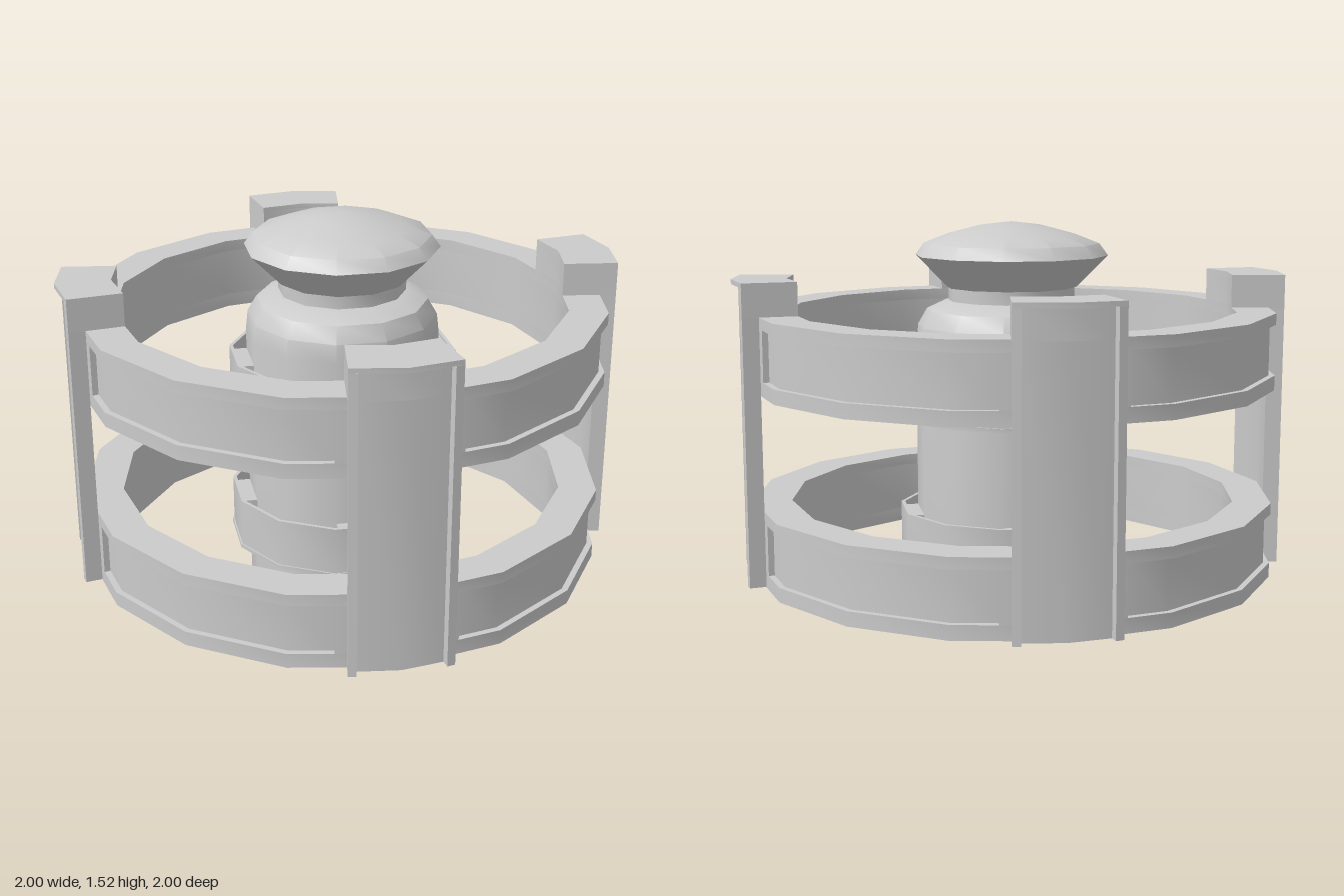
import * as THREE from 'three';
import { toCreasedNormals } from 'three/addons/utils/BufferGeometryUtils.js';

const grey = new THREE.MeshStandardMaterial({ color: 0xcccccc });
const greyOpen = new THREE.MeshStandardMaterial({ color: 0xcccccc, side: THREE.DoubleSide });
const rad = THREE.MathUtils.degToRad;
const CREASE = 0.6;

// point at an angle in degrees
const polar = (r, a) => new THREE.Vector2(r * Math.cos(rad(a)), r * Math.sin(rad(a)));

// corners of a regular polygon
const ngon = (r, n) => Array.from({ length: n }, (_, i) => polar(r, (i * 360) / n));

// point on the edge of a 16-sided polygon of corner radius r
function onRing(r, a) {
  const off = (((a % 22.5) + 22.5) % 22.5) - 11.25;
  return polar((r * Math.cos(rad(11.25))) / Math.cos(rad(off)), a);
}

function mesh(name, geometry, material = grey) {
  const m = new THREE.Mesh(toCreasedNormals(geometry, CREASE), material);
  m.name = name;
  return m;
}

// upright prism from a plan outline, optionally hollow
function prism(name, outline, y0, y1, hole) {
  const shape = new THREE.Shape(outline);
  if (hole) shape.holes.push(new THREE.Path(hole));
  const g = new THREE.ExtrudeGeometry(shape, { depth: y1 - y0, bevelEnabled: false });
  g.rotateX(-Math.PI / 2).translate(0, y0, 0);
  return mesh(name, g);
}

// 12-sided turned part
function turned(name, profile) {
  const pts = profile.map(([r, y]) => new THREE.Vector2(r, y));
  return mesh(name, new THREE.LatheGeometry(pts, 12), greyOpen);
}

// outer ring band with four recessed panels
function ringBand(name, y) {
  const band = new THREE.Group();
  band.name = name;
  const outer = ngon(1, 16), inner = ngon(0.855, 16);
  const inset = [];
  for (let c = 0; c < 360; c += 90) {
    inset.push(onRing(1, c - 45), onRing(1, c - 32));
    for (const a of [-32, -22.5, 0, 22.5, 32]) inset.push(onRing(0.977, c + a));
    inset.push(onRing(1, c + 32));
  }
  band.add(
    prism('lowerLip', outer, y, y + 0.055, inner),
    prism('recessedWall', inset, y + 0.055, y + 0.245, inner),
    prism('upperLip', outer, y + 0.245, y + 0.288, inner)
  );
  return band;
}

// pillar on the outside of the rings, with a sunken face and a block on top
function pillar(c) {
  const g = new THREE.Group();
  g.name = 'pillar';
  const w = 10.5, f = 8.8;
  const back = [onRing(1, c + w), onRing(1, c), onRing(1, c - w)];
  const front = [polar(1.043, c - w), polar(1.06, c), polar(1.043, c + w)];
  const sunken = [
    polar(1.043, c - w), polar(1.045, c - f), polar(1.012, c - f), polar(1.022, c),
    polar(1.012, c + f), polar(1.045, c + f), polar(1.043, c + w)
  ];
  const deepBack = [onRing(0.855, c + 11), onRing(0.855, c), onRing(0.855, c - 11)];
  g.add(
    prism('pillarShaft', [...back, ...sunken], 0.185, 1.19),
    prism('pillarHead', [...deepBack, ...sunken], 1.19, 1.3),
    prism('pillarCap', [...deepBack, ...front], 1.3, 1.318)
  );
  return g;
}

// thin collar held off the body by four blocks
function collar(name, y) {
  const g = new THREE.Group();
  g.name = name;
  g.add(
    prism('collarRim', ngon(0.44, 12), y, y + 0.015, ngon(0.42, 12)),
    prism('collarWall', ngon(0.434, 12), y + 0.015, y + 0.2, ngon(0.42, 12))
  );
  for (let a = 45; a < 360; a += 90) {
    const block = mesh('collarBlock', new THREE.BoxGeometry(0.07, 0.18, 0.19));
    const p = polar(0.382, a);
    block.position.set(p.x, y + 0.1, p.y);
    block.rotation.y = -rad(a);
    g.add(block);
  }
  return g;
}

export function createModel() {
  const model = new THREE.Group();
  model.name = 'ringedCylinder';

  // outer cage
  const cage = new THREE.Group();
  cage.name = 'cage';
  cage.add(ringBand('lowerRing', 0.183), ringBand('upperRing', 0.905));
  for (let a = 45; a < 360; a += 90) cage.add(pillar(a));

  // central core, open underneath
  const core = new THREE.Group();
  core.name = 'core';
  core.position.z = -0.008;
  core.add(
    turned('body', [[0.368, 0], [0.368, 1.06], [0.36, 1.13], [0.325, 1.19], [0.25, 1.225], [0.24, 1.225]]),
    turned('neck', [[0.242, 1.215], [0.242, 1.275]]),
    turned('head', [[0.2, 1.275], [0.25, 1.275], [0.368, 1.395], [0.335, 1.44], [0.24, 1.477], [0.12, 1.508], [0, 1.522]]),
    collar('lowerCollar', 0.225),
    collar('upperCollar', 0.785)
  );

  model.add(cage, core);
  return model;
}
